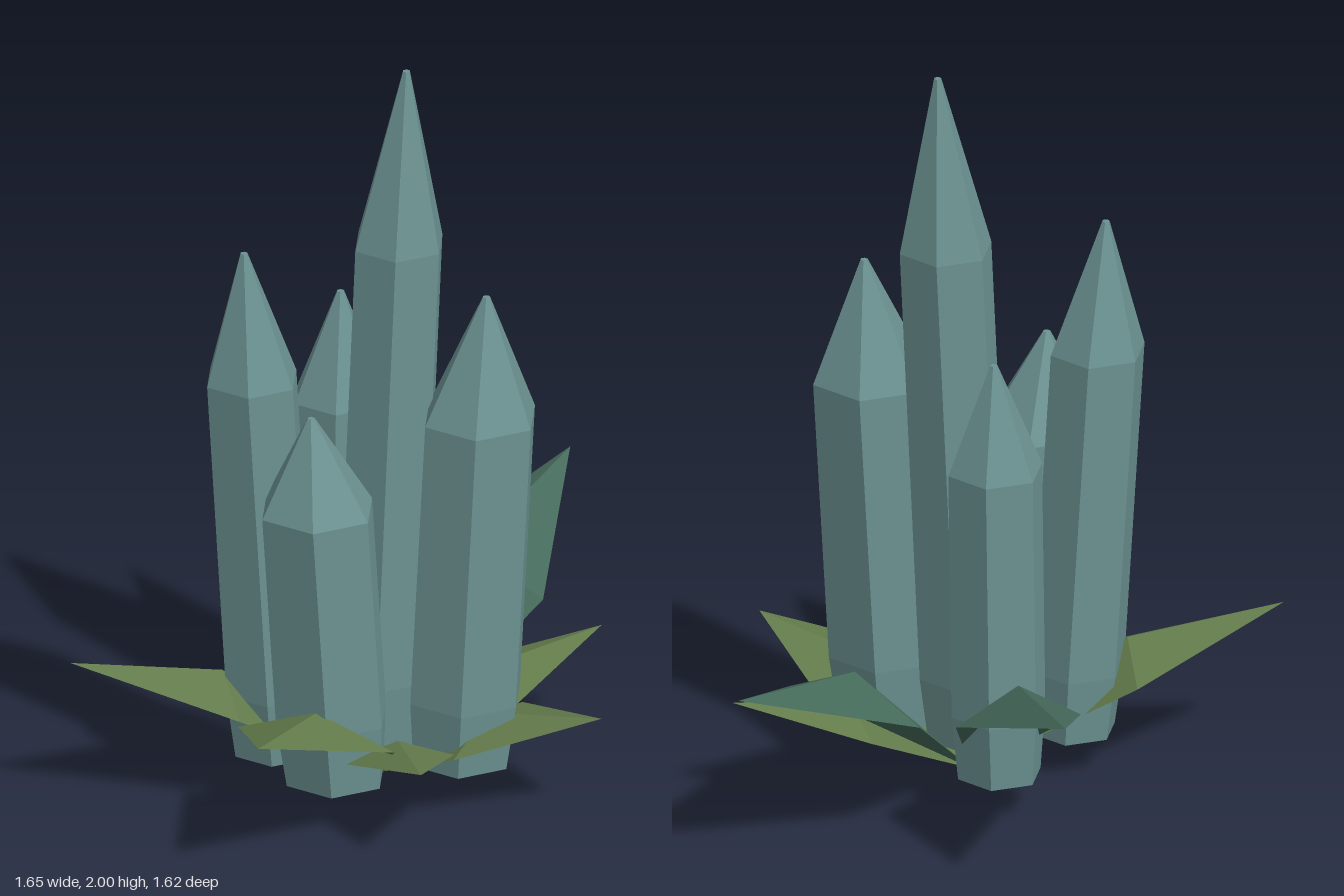
import * as THREE from 'three';

const material = (name, color, extra = {}) => {
  const m = new THREE.MeshStandardMaterial({ color, flatShading: true, ...extra });
  m.name = name;
  return m;
};

// Six-sided crystal: narrowed foot, straight shaft, pointed cap, sheared sideways
function crystalGeometry(radius, shoulder, top, lean) {
  const foot = 0.1;
  const profile = [
    [0, foot], [radius * 0.88, foot], [radius, 0.28],
    [radius, shoulder], [0.01, top], [0, top],
  ].map(([r, y]) => new THREE.Vector2(r, y));
  const geo = new THREE.LatheGeometry(profile, 6, Math.PI / 2);
  const p = geo.attributes.position;
  for (let i = 0; i < p.count; i++) p.setX(i, p.getX(i) + lean * (p.getY(i) - foot));
  geo.computeVertexNormals();
  return geo;
}

// Folded leaf: root, two side corners, raised middle of the ridge, tip
function leafGeometry(root, tip, halfWidth) {
  const dir = new THREE.Vector3(tip.x - root.x, 0, tip.z - root.z).normalize();
  const across = new THREE.Vector3(dir.z, 0, -dir.x).multiplyScalar(halfWidth);
  const mid = root.clone().lerp(tip, 0.5);
  const ridge = mid.clone().setY(tip.y * 0.83);
  const edge = mid.clone().setY(tip.y * 0.645);
  const a = edge.clone().add(across);
  const b = edge.clone().sub(across);
  const faces = [root, a, ridge, root, ridge, b, a, tip, ridge, ridge, tip, b];
  const geo = new THREE.BufferGeometry().setFromPoints(faces);
  geo.computeVertexNormals();
  return geo;
}

export function createModel() {
  const model = new THREE.Group();
  model.name = 'crystalCluster';

  const crystalMat = material('crystalTeal', 0x6c9392);
  const greenMat = material('leafGreen', 0x637b4b, { side: THREE.DoubleSide });
  const darkMat = material('leafDarkGreen', 0x456a5a, { side: THREE.DoubleSide });

  // Crystals: x and z of the foot, radius, shoulder height, top height, lean
  const crystals = [
    ['tallCrystal', 0, 0.17, 0.127, 1.51, 2.0, 0.045],
    ['rightRearCrystal', -0.274, 0.12, 0.13, 1.18, 1.545, -0.062],
    ['rightFrontCrystal', -0.208, 0.345, 0.16, 0.88, 1.145, -0.067],
    ['leftFrontCrystal', 0.144, 0.38, 0.16, 1.07, 1.41, 0.055],
    ['backCrystal', 0.004, -0.087, 0.13, 0.975, 1.275, 0.013],
  ];
  for (const [name, x, z, radius, shoulder, top, lean] of crystals) {
    const mesh = new THREE.Mesh(crystalGeometry(radius, shoulder, top, lean), crystalMat);
    mesh.name = name;
    mesh.position.set(x, 0, z);
    model.add(mesh);
  }

  // Leaves: tip position and half width, all sharing one root
  const root = new THREE.Vector3(-0.01, 0, 0.175);
  const leaves = [
    ['backLeaf', 0.075, 0.55, -0.815, 0.169, darkMat],
    ['leftRearLeaf', 0.825, 0.55, -0.365, 0.216, darkMat],
    ['rightLeaf', -0.825, 0.42, 0.028, 0.165, greenMat],
    ['rightFrontLeaf', -0.62, 0.42, 0.73, 0.22, greenMat],
    ['frontLeaf', -0.185, 0.29, 0.81, 0.15, greenMat],
    ['leftFrontLeaf', 0.395, 0.29, 0.7, 0.205, greenMat],
    ['leftLeaf', 0.655, 0.29, 0.17, 0.155, greenMat],
  ];
  for (const [name, x, y, z, halfWidth, mat] of leaves) {
    const mesh = new THREE.Mesh(leafGeometry(root, new THREE.Vector3(x, y, z), halfWidth), mat);
    mesh.name = name;
    model.add(mesh);
  }

  return model;
}
